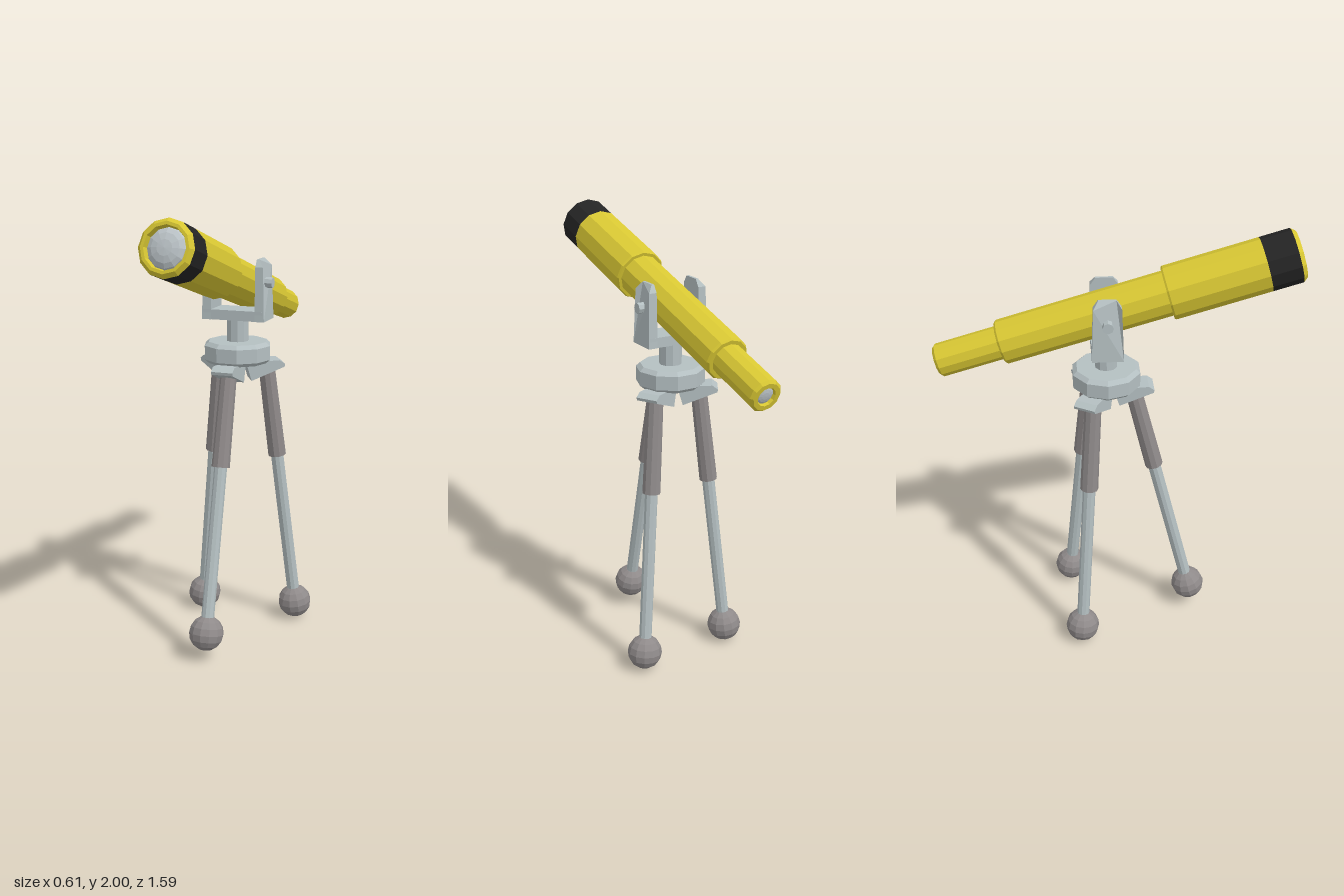
import * as THREE from 'three';

const mat = (name, color) => {
  const m = new THREE.MeshStandardMaterial({ color });
  m.name = name;
  return m;
};

// Faceted normals without touching the material
function facet(geometry) {
  const g = geometry.index ? geometry.toNonIndexed() : geometry;
  g.computeVertexNormals();
  return g;
}

function part(parent, name, geometry, material) {
  const mesh = new THREE.Mesh(facet(geometry), material);
  mesh.name = name;
  parent.add(mesh);
  return mesh;
}

const lathe = (pts, sides) =>
  new THREE.LatheGeometry(pts.map(([r, y]) => new THREE.Vector2(r, y)), sides);

const shape = (pts) => new THREE.Shape(pts.map(([x, y]) => new THREE.Vector2(x, y)));

export function createModel() {
  const yellow = mat('yellow paint', 0xd8c733);
  const black = mat('black band', 0x242424);
  const metal = mat('pale metal', 0xb4bfc1);
  const grey = mat('dark grey', 0x8f8a8a);
  const glass = mat('lens glass', 0xbcc4c8);

  const model = new THREE.Group();
  model.name = 'telescope';
  const hubX = -0.007, hubZ = -0.053;

  // Telescope tube, tilted about the pivot; local +z points to the front lens
  const scope = new THREE.Group();
  scope.name = 'opticalTube';
  scope.position.set(hubX, 1.66, hubZ);
  scope.rotation.set(-0.279, 0.009, 0, 'YXZ');
  model.add(scope);
  const along = (pts) => lathe(pts, 12).rotateX(Math.PI / 2);
  part(scope, 'mainTube', along([
    [0.036, -0.735], [0.042, -0.757], [0.062, -0.757], [0.073, -0.745], [0.073, -0.471],
    [0.09, -0.471], [0.097, -0.462], [0.098, 0.272], [0.112, 0.272], [0.117, 0.28], [0.117, 0.7],
  ]), yellow);
  part(scope, 'frontBand', along([[0.117, 0.7], [0.117, 0.833]]), black);
  part(scope, 'frontRim', along([[0.117, 0.833], [0.101, 0.852], [0.088, 0.852], [0.08, 0.815]]), yellow);
  const lens = (name, r, z, depth) => {
    const g = new THREE.SphereGeometry(r, 12, 8).rotateX(Math.PI / 2).scale(1, 1, depth / r);
    part(scope, name, g, glass).position.z = z;
  };
  lens('frontLens', 0.084, 0.822, 0.034);
  lens('eyepieceLens', 0.042, -0.737, 0.014);

  // Fork mount: base bar, two chamfered arms and pivot pins
  const fork = new THREE.Group();
  fork.name = 'forkMount';
  fork.position.set(hubX, 0, hubZ);
  model.add(fork);
  part(fork, 'forkBase', new THREE.BoxGeometry(0.28, 0.045, 0.134), metal).position.y = 1.518;
  for (const s of [1, -1]) {
    const arm = new THREE.ExtrudeGeometry(shape([
      [-0.068, 1.495], [0.068, 1.495], [0.06, 1.735], [0.038, 1.767], [-0.038, 1.767], [-0.06, 1.735],
    ]), { depth: 0.044, bevelEnabled: false });
    arm.rotateY(Math.PI / 2).translate(s > 0 ? 0.103 : -0.147, 0, 0);
    // Slope the outer face inward towards the top
    const p = arm.attributes.position;
    for (let i = 0; i < p.count; i++) {
      if (Math.abs(p.getX(i)) < 0.13) continue;
      const inset = p.getY(i) > 1.75 ? 0.032 : p.getY(i) > 1.7 ? 0.008 : 0;
      p.setX(i, p.getX(i) - s * inset);
    }
    part(fork, s > 0 ? 'leftArm' : 'rightArm', arm, metal);
    const pin = new THREE.CylinderGeometry(0.024, 0.024, 0.07, 8).rotateZ(Math.PI / 2);
    part(fork, s > 0 ? 'leftPin' : 'rightPin', pin, metal).position.set(s * 0.131, 1.663, 0);
  }

  // Post and tripod head
  part(fork, 'post', new THREE.CylinderGeometry(0.05, 0.05, 0.13, 10).rotateY(Math.PI / 2), metal)
    .position.y = 1.44;
  part(fork, 'tripodHead', lathe([
    [0, 1.298], [0.135, 1.298], [0.154, 1.315], [0.154, 1.378], [0.135, 1.395], [0, 1.395],
  ], 10).rotateY(Math.PI / 2), metal);

  // Tripod legs: hinge wedge, sleeve, rod and ball foot
  const legs = [
    ['frontLeg', [-0.006, 1.26, 0.068], [-0.01, 0.13, 0.346]],
    ['leftLeg', [0.11, 1.26, -0.122], [0.227, 0.088, -0.225]],
    ['rightLeg', [-0.117, 1.26, -0.117], [-0.23, 0.083, -0.187]],
  ];
  for (const [name, topPos, footPos] of legs) {
    const leg = new THREE.Group();
    leg.name = name;
    model.add(leg);
    const top = new THREE.Vector3(...topPos), foot = new THREE.Vector3(...footPos);
    const joint = top.clone().lerp(foot, 0.355);
    const rod = (label, a, b, rA, rB, material) => {
      const m = part(leg, label, new THREE.CylinderGeometry(rA, rB, a.distanceTo(b), 10), material);
      m.position.copy(a).lerp(b, 0.5);
      m.quaternion.setFromUnitVectors(new THREE.Vector3(0, 1, 0), a.clone().sub(b).normalize());
      return m;
    };
    rod('sleeve', top, joint, 0.037, 0.041, grey);
    const lower = rod('rod', joint, foot, 0.029, 0.029, metal);
    const ball = part(leg, 'ballFoot', new THREE.SphereGeometry(0.079, 12, 8), grey);
    ball.position.copy(foot);
    ball.quaternion.copy(lower.quaternion);

    const wedge = new THREE.ExtrudeGeometry(shape([
      [0.03, 1.3], [0.055, 1.215], [0.207, 1.275], [0.21, 1.288], [0.185, 1.306],
    ]), { depth: 0.1, bevelEnabled: false }).translate(0, 0, -0.05);
    const hinge = part(leg, 'hingeWedge', wedge, metal);
    hinge.position.set(hubX, 0, hubZ);
    hinge.rotation.y = Math.atan2(-(top.z - hubZ), top.x - hubX);
  }
  return model;
}
